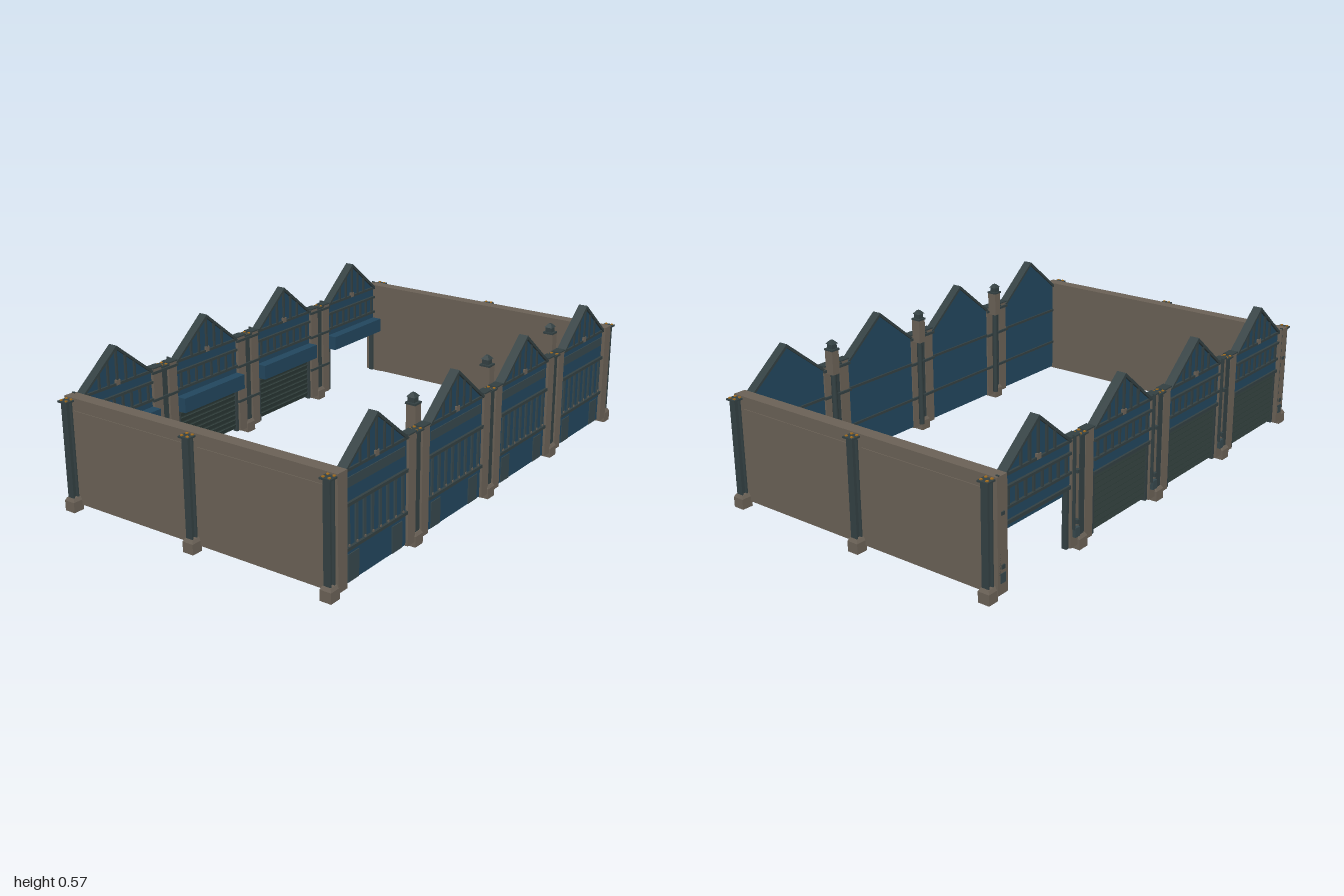
import * as THREE from 'three';

export function createModel() {
  const model = new THREE.Group();
  model.name = 'gabledHallShell';

  const mat = (name, color) => {
    const m = new THREE.MeshStandardMaterial({ color });
    m.name = name;
    return m;
  };
  const stone = mat('stone', 0x6a6156);
  const blue = mat('blueCladding', 0x22465d);
  const steel = mat('darkSteel', 0x334042);
  const slate = mat('slate', 0x36474c);
  const slatMat = mat('shutterGreen', 0x2f3d3a);
  const bolt = mat('orangeBolts', 0xa8701f);

  // Box given by its limits on each axis
  const box = (parent, name, m, x0, x1, y0, y1, z0, z1) => {
    const mesh = new THREE.Mesh(new THREE.BoxGeometry(x1 - x0, y1 - y0, z1 - z0), m);
    mesh.position.set((x0 + x1) / 2, (y0 + y1) / 2, (z0 + z1) / 2);
    mesh.name = name;
    parent.add(mesh);
    return mesh;
  };
  const extrude = (parent, name, m, pts, z, depth) => {
    const shape = new THREE.Shape(pts.map(([x, y]) => new THREE.Vector2(x, y)));
    const mesh = new THREE.Mesh(new THREE.ExtrudeGeometry(shape, { depth, bevelEnabled: false }), m);
    mesh.position.z = z;
    mesh.name = name;
    parent.add(mesh);
  };
  const group = (name, x = 0, z = 0, parent = model) => {
    const g = new THREE.Group();
    g.name = name;
    g.position.set(x, 0, z);
    parent.add(g);
    return g;
  };

  const HALF = 0.178, EAVE = 0.425, PEAK = 0.566;
  const bays = [-0.735, -0.245, 0.243, 0.735];
  const roofY = (x) => PEAK - (PEAK - EAVE) * Math.abs(x) / HALF;

  // Steel I-column on a stone footing; web runs along z unless turned
  const column = (x, z, turned) => {
    const g = group('steelColumn', x, z);
    if (turned) g.rotation.y = Math.PI / 2;
    for (const s of [-1, 1]) {
      box(g, 'columnFlange', steel, -0.014, 0.014, 0.05, 0.42, s * 0.011 - 0.0025, s * 0.011 + 0.0025);
    }
    box(g, 'columnWeb', steel, -0.004, 0.004, 0.05, 0.42, -0.01, 0.01);
    box(g, 'columnFooting', stone, -0.023, 0.023, 0, 0.04, -0.023, 0.023);
    const top = new THREE.CylinderGeometry(0.017 * Math.SQRT2, 0.023 * Math.SQRT2, 0.012, 4);
    top.rotateY(Math.PI / 4);
    const taper = new THREE.Mesh(top.toNonIndexed(), stone);
    taper.geometry.computeVertexNormals();
    taper.position.y = 0.046;
    taper.name = 'footingTaper';
    g.add(taper);
    box(g, 'columnCap', steel, -0.022, 0.022, 0.419, 0.425, -0.022, 0.022);
    for (const sx of [-1, 1]) for (const sz of [-1, 1]) {
      box(g, 'capBolt', bolt, sx * 0.012 - 0.004, sx * 0.012 + 0.004, 0.425, 0.429, sz * 0.012 - 0.004, sz * 0.012 + 0.004);
    }
  };

  // Side walls with framed panels and outer columns
  for (const s of [-1, 1]) {
    const side = group(s > 0 ? 'leftWall' : 'rightWall', s * 0.935);
    box(side, 'sideWall', stone, -0.025, 0.025, 0.02, 0.432, -0.605, 0.605);
    for (const c of [-1, 1]) {
      const a = c * 0.292;
      box(side, 'wallPanel', stone, s * 0.0265 - 0.0015, s * 0.0265 + 0.0015, 0.085, 0.385, a - 0.265, a + 0.265);
    }
    for (const z of [-0.577, 0, 0.583]) column(s * 0.977, z, true);
  }

  // Columns and stone piers between the bays; outer face points along dir
  const junctions = (zc, dir) => {
    for (const x of [-0.49, 0, 0.49]) {
      column(x, zc, false);
      const g = group('pierPair', x, zc);
      box(g, 'widePier', stone, -0.064, -0.018, 0.02, 0.426, -0.014, 0.018);
      box(g, 'narrowPier', stone, 0.02, 0.064, 0.02, 0.426, -0.014, 0.018);
      box(g, 'pierCoping', steel, -0.067, -0.016, 0.426, 0.431, -0.017, 0.02);
      box(g, 'pierCoping', steel, 0.018, 0.067, 0.426, 0.431, -0.017, 0.02);
      const inner = -dir * 0.017;
      for (const y of [0.15, 0.3, 0.41]) {
        box(g, 'tieRail', steel, -0.07, 0.07, y - 0.005, y + 0.005, inner - 0.004, inner + 0.004);
      }
    }
  };
  junctions(0.58, 1);
  junctions(-0.58, -1);

  // Gable coping along both slopes
  const coping = (g) => extrude(g, 'gableCoping', steel, [
    [-HALF - 0.004, EAVE - 0.005], [-HALF + 0.004, EAVE - 0.01], [0, PEAK - 0.012],
    [HALF - 0.004, EAVE - 0.01], [HALF + 0.004, EAVE - 0.005], [0, PEAK + 0.002]], -0.018, 0.037);

  // Uprights in the gable triangle, a collar beam and a small stone block
  const gableFrame = (g, z) => {
    for (const x of [-0.09, -0.045, 0, 0.045, 0.09]) {
      box(g, 'gableUpright', steel, x - 0.004, x + 0.004, 0.42, roofY(x) - 0.009, z - 0.004, z + 0.004);
    }
    box(g, 'collarBeam', steel, -HALF, HALF, 0.414, 0.424, z - 0.004, z + 0.004);
    box(g, 'gableBlock', stone, -0.01, 0.01, 0.416, 0.436, z - 0.006, z + 0.006);
  };

  // Front bays
  for (const c of bays) {
    const g = group('frontBay', c, 0.58);
    extrude(g, 'frontCladding', blue, [[-HALF, 0.025], [HALF, 0.025], [HALF, EAVE - 0.008],
      [0, PEAK - 0.008], [-HALF, EAVE - 0.008]], -0.01, 0.02);
    coping(g);
    gableFrame(g, 0.012);
    for (const y of [0.148, 0.303]) {
      box(g, 'frontRail', steel, -HALF, HALF, y - 0.006, y + 0.006, 0.009, 0.02);
      box(g, 'innerRail', steel, -HALF, HALF, y - 0.005, y + 0.005, -0.016, -0.009);
    }
    for (let i = 0; i < 8; i++) {
      const x = -0.154 + i * 0.044;
      box(g, 'windowMullion', slate, x - 0.006, x + 0.006, 0.154, 0.297, 0.009, 0.016);
      box(g, 'mullionFoot', stone, x - 0.004, x + 0.004, 0.156, 0.164, 0.016, 0.018);
    }
    box(g, 'friezeBand', slate, -HALF + 0.012, HALF - 0.012, 0.358, 0.392, 0.009, 0.013);
    for (const s of [-1, 1]) {
      box(g, 'frontDoor', slate, s * 0.125 - 0.03, s * 0.125 + 0.03, 0.026, 0.125, 0.009, 0.013);
    }
  }

  // Chimneys behind the front piers
  for (const x of [-0.448, 0.042, 0.53]) {
    const g = group('chimney', x, 0.542);
    const pipe = new THREE.Mesh(new THREE.CylinderGeometry(0.011, 0.011, 0.37, 10), steel);
    pipe.position.y = 0.225;
    pipe.name = 'fluePipe';
    g.add(pipe);
    box(g, 'chimneyStack', stone, -0.017, 0.017, 0.4, 0.495, -0.017, 0.022);
    box(g, 'chimneySlab', steel, -0.02, 0.02, 0.495, 0.502, -0.02, 0.022);
    box(g, 'chimneyPot', steel, -0.013, 0.013, 0.502, 0.522, -0.013, 0.013);
    const hat = new THREE.Mesh(new THREE.CylinderGeometry(0.007, 0.024, 0.014, 4).rotateY(Math.PI / 4).toNonIndexed(), steel);
    hat.geometry.computeVertexNormals();
    hat.position.y = 0.528;
    hat.name = 'chimneyHat';
    g.add(hat);
  }

  // Back bays: clad gable above, roller shutter below (the last bay stands open)
  bays.forEach((c, i) => {
    const g = group('backBay', c, -0.58);
    extrude(g, 'backCladding', blue, [[-HALF, 0.25], [HALF, 0.25], [HALF, EAVE - 0.008],
      [0, PEAK - 0.008], [-HALF, EAVE - 0.008]], -0.008, 0.016);
    coping(g);
    for (const z of [-0.012, 0.012]) {
      gableFrame(g, z);
      for (const y of [0.305, 0.375]) {
        box(g, 'backRail', steel, -HALF, HALF, y - 0.005, y + 0.005, z - 0.006, z + 0.006);
      }
      for (let k = 0; k < 8; k++) {
        const x = -0.154 + k * 0.044;
        box(g, 'backMullion', steel, x - 0.004, x + 0.004, 0.31, 0.37, z - 0.004, z + 0.004);
      }
    }
    box(g, 'shutterHousing', blue, -HALF, HALF, 0.215, 0.275, 0.008, 0.05);
    box(g, 'shutterLintel', steel, -HALF, HALF, 0.245, 0.258, -0.016, 0.01);
    for (const s of [-1, 1]) {
      box(g, 'shutterGuide', steel, s * 0.171 - 0.006, s * 0.171 + 0.006, 0.02, 0.25, -0.008, 0.012);
    }
    if (i === 3) return;
    box(g, 'shutterCurtain', slatMat, -0.165, 0.165, 0.03, 0.246, -0.002, 0.002);
    for (let k = 0; k < 10; k++) {
      const slat = box(g, 'shutterSlat', slatMat, -0.165, 0.165, 0.034 + k * 0.0215, 0.05 + k * 0.0215, -0.005, 0.005);
      slat.rotation.x = 0.25;
    }
  });

  // Service boxes, lamps and conduits on the back piers
  for (const x of [-0.935, -0.448, 0.042, 0.53, 0.935]) {
    const g = group('serviceFittings', x, -0.6);
    box(g, 'meterBox', slate, -0.013, 0.013, 0.06, 0.095, -0.007, 0.008);
    box(g, 'switchBox', steel, -0.007, 0.007, 0.11, 0.125, -0.009, 0.008);
    box(g, 'wallLamp', steel, -0.008, 0.008, 0.298, 0.31, -0.009, 0.008);
    box(g, 'conduit', steel, 0.012, 0.017, 0.09, 0.436, -0.005, 0.008);
  }
  return model;
}
